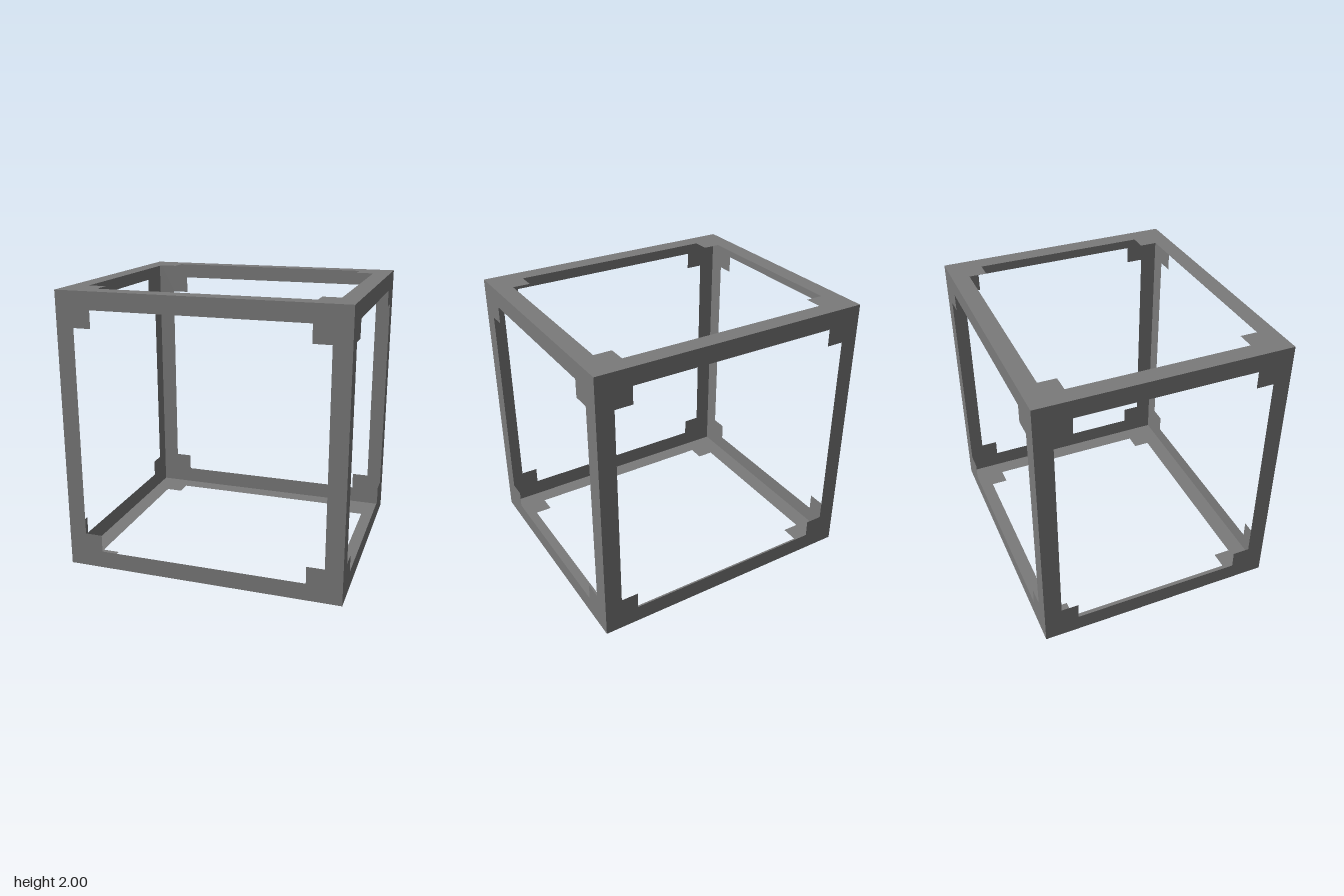
import * as THREE from 'three';

const W = 2, H = 2, D = 1.75;   // overall size
const BAR = 0.125, CORNER = 0.25; // strip width and corner block size

// Flat rectangular frame whose opening is stepped in at each corner
function frameGeometry(w, h) {
  const a = w / 2, b = h / 2;
  const shape = new THREE.Shape([
    new THREE.Vector2(-a, -b), new THREE.Vector2(a, -b),
    new THREE.Vector2(a, b), new THREE.Vector2(-a, b),
  ]);
  const xi = a - BAR, xc = a - CORNER, yi = b - BAR, yc = b - CORNER;
  const hole = [
    [xi, yc], [xc, yc], [xc, yi],
    [-xc, yi], [-xc, yc], [-xi, yc],
    [-xi, -yc], [-xc, -yc], [-xc, -yi],
    [xc, -yi], [xc, -yc], [xi, -yc],
  ].map(([x, y]) => new THREE.Vector2(x, y));
  shape.holes.push(new THREE.Path(hole));
  return new THREE.ShapeGeometry(shape);
}

export function createModel() {
  const group = new THREE.Group();
  group.name = 'openBoxFrame';
  const grey = new THREE.MeshStandardMaterial({ color: 0x7a7a7a, side: THREE.DoubleSide });
  grey.name = 'grey';

  const q = Math.PI / 2;
  // name, width, height, position, rotation about x, rotation about y
  const sides = [
    ['frontFrame', W, H, [0, H / 2, D / 2], 0, 0],
    ['backFrame', W, H, [0, H / 2, -D / 2], 0, Math.PI],
    ['leftFrame', D, H, [W / 2, H / 2, 0], 0, q],
    ['rightFrame', D, H, [-W / 2, H / 2, 0], 0, -q],
    ['topFrame', W, D, [0, H, 0], -q, 0],
    ['bottomFrame', W, D, [0, 0, 0], q, 0],
  ];
  for (const [name, w, h, pos, rx, ry] of sides) {
    const mesh = new THREE.Mesh(frameGeometry(w, h), grey);
    mesh.name = name;
    mesh.position.set(...pos);
    mesh.rotation.set(rx, ry, 0);
    group.add(mesh);
  }
  return group;
}
